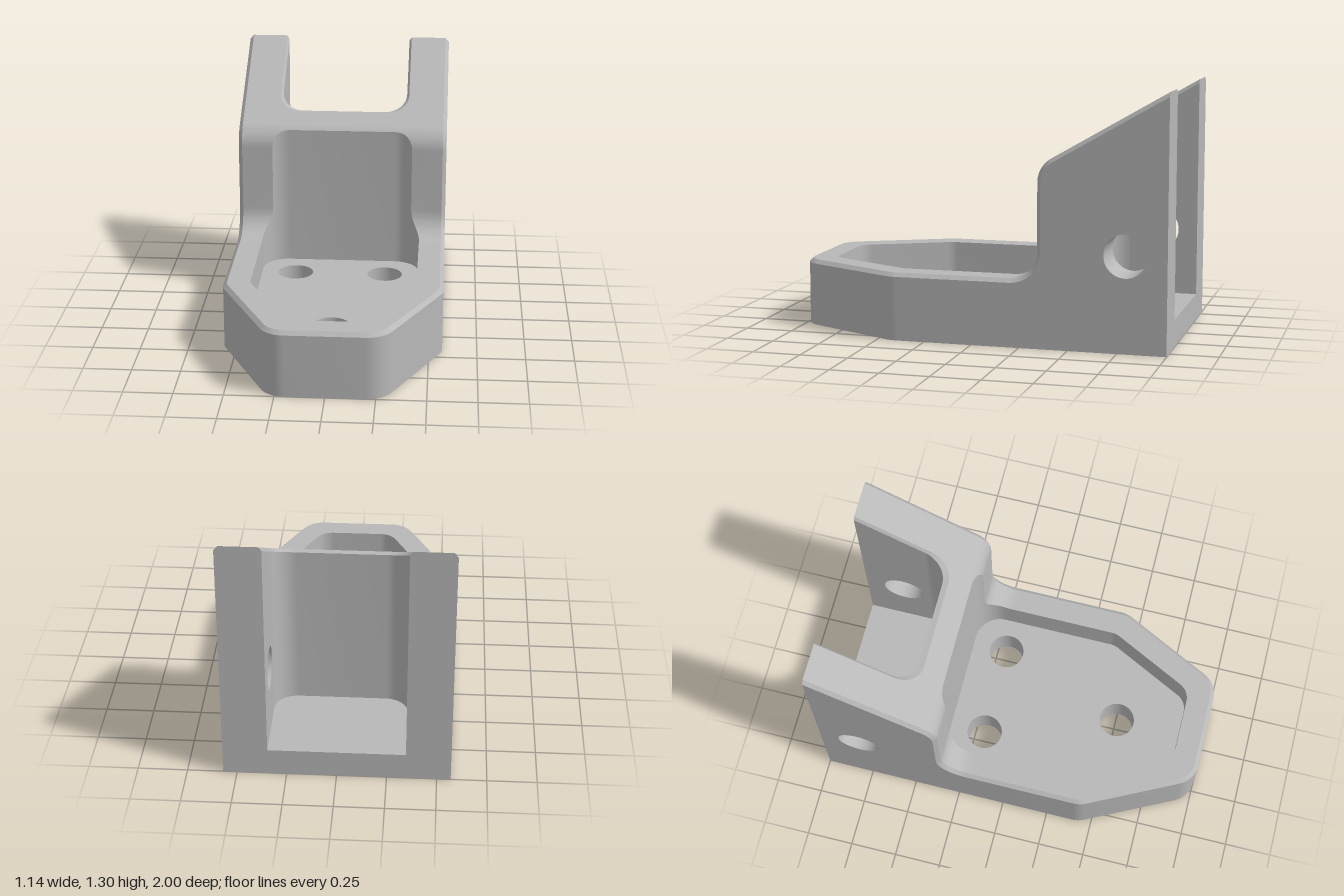
import * as THREE from 'three';
import { toCreasedNormals } from 'three/addons/utils/BufferGeometryUtils.js';

const V3 = (x, y, z) => new THREE.Vector3(x, y, z);
const TAN30 = Math.tan(Math.PI / 6);

// Open path of [u, v, radius] corners, with each radius turned into an arc
function roundPath(corners, n = 10) {
  const out = [];
  corners.forEach(([x, y, r], i) => {
    const p = new THREE.Vector2(x, y);
    if (!r) return out.push(p);
    const u = new THREE.Vector2(...corners[i - 1].slice(0, 2)).sub(p).normalize();
    const v = new THREE.Vector2(...corners[i + 1].slice(0, 2)).sub(p).normalize();
    const phi = Math.acos(u.dot(v));
    const c = u.clone().add(v).normalize().multiplyScalar(r / Math.sin(phi / 2)).add(p);
    const start = u.clone().multiplyScalar(r / Math.tan(phi / 2)).add(p).sub(c);
    const sweep = (Math.PI - phi) * Math.sign(-u.cross(v));
    for (let k = 0; k <= n; k++) {
      const a = start.angle() + sweep * k / n;
      out.push(new THREE.Vector2(c.x + r * Math.cos(a), c.y + r * Math.sin(a)));
    }
  });
  return out;
}

// Base outline (x, z) inset by d, running from z0 on +x around the nose to -x
function outline(d, z0, r) {
  const half = [[0.57 - d, z0, 0], [0.57 - d, 0.43 - 0.236 * d, r], [0.285 - 0.618 * d, 1 - d, r]];
  return roundPath([...half, ...half.map(([x, z, q]) => [-x, z, q]).reverse()]);
}

// Rear pocket outline (x, z), open at the back
const rearPath = (w, z) => roundPath([[w, -1, 0], [w, z, 0.12], [-w, z, 0.12], [-w, -1, 0]]);

// Surface between two equally long rows of points
function strip(a, b) {
  const pos = [];
  for (let i = 0; i + 1 < a.length; i++) {
    for (const p of [a[i], b[i], b[i + 1], a[i], b[i + 1], a[i + 1]]) pos.push(p.x, p.y, p.z);
  }
  const g = new THREE.BufferGeometry();
  g.setAttribute('position', new THREE.Float32BufferAttribute(pos, 3));
  return toCreasedNormals(g, 0.5);
}

// Flat face with round holes [u, v, radius], placed in space by a mapping
function face(points, holes, place) {
  const shape = new THREE.Shape(points);
  for (const [u, v, r] of holes) {
    shape.holes.push(new THREE.Path().absarc(u, v, r, 0, Math.PI * 2, true));
  }
  const g = new THREE.ShapeGeometry(shape, 20);
  const p = g.attributes.position;
  for (let i = 0; i < p.count; i++) p.setXYZ(i, ...place(p.getX(i), p.getY(i)));
  g.computeVertexNormals();
  return g;
}

export function createModel() {
  const group = new THREE.Group();
  group.name = 'mountingBracket';
  const grey = new THREE.MeshStandardMaterial({ color: 0xb8b8b8, side: THREE.DoubleSide });
  grey.name = 'grey';
  const add = (name, geometry) => {
    const mesh = new THREE.Mesh(geometry, grey);
    mesh.name = name;
    group.add(mesh);
    return mesh;
  };
  const vec2 = list => list.map(([u, v]) => new THREE.Vector2(u, v));
  const atY = y => (x, z) => [x, y, z];

  const Z0 = -0.15;          // where the upright's profile meets the flat base
  const BACK = -0.485;       // rear edge of the bridge between the arms
  const FRONT = -0.375;      // back wall of the front pocket
  const FLOOR = 0.17, REAR_FLOOR = 0.14;
  const slope = z => 1.3 - (z + 1) * TAN30;
  const boltHoles = [[-0.245, -0.185, 0.095], [0.245, -0.185, 0.095], [0, 0.51, 0.095]];
  const pinHole = [-0.79, 0.49, 0.11];

  // Side profile (z, y) and the same profile 0.02 lower, below the chamfer
  const upper = roundPath([[-1, 1.3, 0], [-0.34, slope(-0.34), 0.14], [-0.34, 0.35, 0.14], [Z0, 0.35, 0]]);
  const drop = 0.02 / Math.cos(Math.PI / 6);
  const lower = roundPath([[-1, 1.3 - drop, 0], [-0.36, slope(-0.36) - drop, 0.12], [-0.36, 0.33, 0.16], [Z0, 0.33, 0]]);
  const profile = upper.map((p, i) => [p.x, p.y, lower[i].x, lower[i].y]);

  // Extra stations where the pocket corners cut the profile
  const rearTop = rearPath(0.357, BACK), rearLow = rearPath(0.345, -0.515);
  const cuts = [BACK, FRONT, ...rearTop.map(p => p.x > 0 ? p.y : BACK)];
  for (let k = 1; k < 10; k++) cuts.push(-0.235 - 0.14 * Math.sin(k * Math.PI / 20));
  for (const z of cuts) {
    const i = profile.findIndex((a, j) => j + 1 < profile.length && a[0] < z - 1e-7 && profile[j + 1][0] > z + 1e-7);
    if (i < 0) continue;
    const a = profile[i], b = profile[i + 1], t = (z - a[0]) / (b[0] - a[0]);
    profile.splice(i + 1, 0, a.map((v, k) => v + (b[k] - v) * t));
  }
  const between = (z0, z1) => profile.filter(p => p[0] > z0 - 1e-6 && p[0] < z1 + 1e-6);
  const arc = (x, r, dz) => x - r + Math.sqrt(Math.max(0, r * r - Math.max(0, dz) ** 2));
  const rearX = z => arc(0.357, 0.12, z + 0.605);
  const frontX = z => arc(0.43, 0.14, -0.235 - z);
  const row = (list, x) => list.map(p => V3(typeof x === 'number' ? x : x(p[0]), p[1], p[0]));

  // Top surfaces of the bridge, arms and cheeks, with outer chamfers and sides
  const bridge = between(BACK, FRONT), arms = between(-1, BACK), cheeks = between(FRONT, Z0);
  add('bridgeTop', strip(row(bridge, -0.55), row(bridge, 0.55)));
  for (const [side, s] of [['left', 1], ['right', -1]]) {
    add(side + 'ArmTop', strip(row(arms, z => s * rearX(z)), row(arms, s * 0.55)));
    add(side + 'CheekFront', strip(row(cheeks, z => s * frontX(z)), row(cheeks, s * 0.55)));
    add(side + 'EdgeChamfer', strip(row(profile, s * 0.55), profile.map(p => V3(s * 0.57, p[3], p[2]))));
    add(side + 'OuterSide', face(
      [...lower, ...vec2([[Z0, 0], [-1, 0]])], [pinHole], (z, y) => [s * 0.57, y, z]));
    add(side + 'ArmInnerSide', face(
      vec2([[-1, REAR_FLOOR], [-0.635, REAR_FLOOR], [-0.635, slope(-0.635) - 0.02], [-1, 1.28]]),
      [pinHole], (z, y) => [s * 0.345, y, z]));
    const bore = add(side + 'PinHole', new THREE.CylinderGeometry(0.11, 0.11, 0.225, 40, 1, true));
    bore.rotation.z = Math.PI / 2;
    bore.position.set(s * 0.4575, pinHole[1], pinHole[0]);
  }

  // Base: nose wall, chamfer, flat rim and underside
  const lift = (path, y) => path.map(p => V3(p.x, y, p.y));
  const nose = outline(0, Z0, 0.14), noseTop = outline(0.02, Z0, 0.12), pocket = outline(0.14, Z0, 0.1);
  add('noseWall', strip(lift(nose, 0), lift(nose, 0.33)));
  add('noseChamfer', strip(lift(nose, 0.33), lift(noseTop, 0.35)));
  add('baseRim', face([...noseTop, ...[...pocket].reverse()], [], atY(0.35)));
  add('underside', face([...outline(0, -1, 0.14)], boltHoles, atY(0)));

  // Front pocket: wall running around the rim, floor and bolt holes
  const cheekRim = row(cheeks, frontX);
  const rim = [...cheekRim, ...lift(pocket, 0.35).slice(1, -1),
    ...cheekRim.map(p => V3(-p.x, p.y, p.z)).reverse(), cheekRim[0]];
  add('frontPocketWall', strip(rim, rim.map(p => V3(p.x, FLOOR, p.z))));
  const floorEdge = [];
  for (const p of rim.slice(0, -1)) {
    const q = new THREE.Vector2(p.x, p.z), last = floorEdge[floorEdge.length - 1];
    if (!last || last.distanceTo(q) > 1e-5) floorEdge.push(q);
  }
  add('frontPocketFloor', face(floorEdge, boltHoles, atY(FLOOR)));
  for (const [x, z, r] of boltHoles) {
    add('boltHole', new THREE.CylinderGeometry(r, r, FLOOR, 40, 1, true)).position.set(x, FLOOR / 2, z);
  }

  // Rear pocket: chamfer, curved wall, floor and the back face around it
  const rearRim = rearLow.map(p => V3(p.x, slope(p.y) - 0.02, p.y));
  const curved = rearRim.slice(1, -1);
  add('rearPocketChamfer', strip(rearTop.map(p => V3(p.x, slope(p.y), p.y)), rearRim));
  add('rearPocketWall', strip(curved, curved.map(p => V3(p.x, REAR_FLOOR, p.z))));
  add('rearPocketFloor', face(rearLow, [], atY(REAR_FLOOR)));
  const half = [[0.57, 0], [0.57, 1.3 - drop], [0.55, 1.3], [0.357, 1.3], [0.345, 1.28], [0.345, REAR_FLOOR]];
  add('backFace', face(
    vec2([...half, ...half.map(([x, y]) => [-x, y]).reverse()]), [], (x, y) => [x, y, -1]));

  return group;
}
